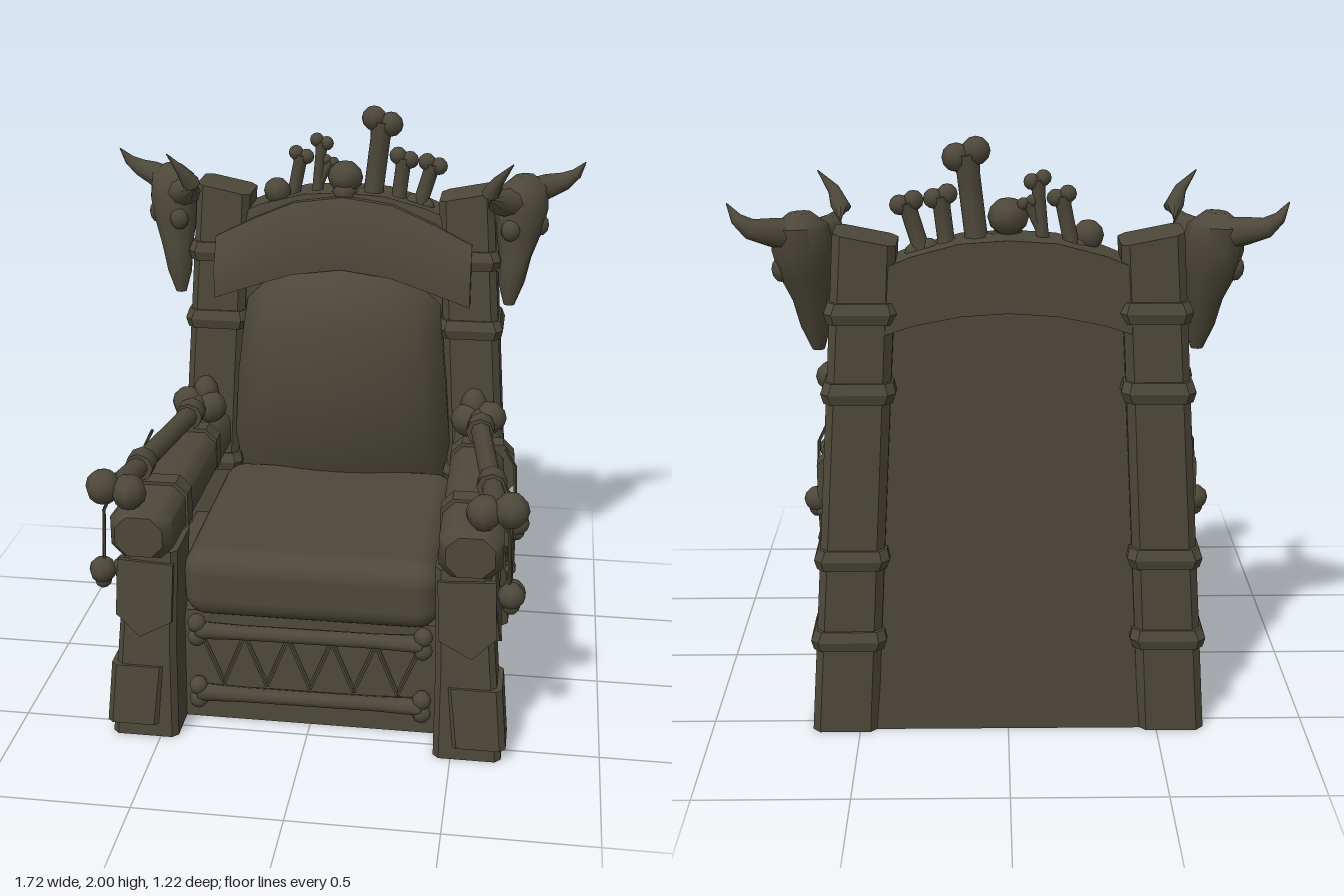
import * as THREE from 'three';
import { mergeGeometries, toCreasedNormals } from 'three/addons/utils/BufferGeometryUtils.js';
import { RoundedBoxGeometry } from 'three/addons/geometries/RoundedBoxGeometry.js';

const V = (x, y, z) => new THREE.Vector3(x, y, z);
const lerp = THREE.MathUtils.lerp;

// Skin a list of equal-length rings, cap both ends, face outwards
function loft(rings, crease = 0.5) {
  const tris = [], n = rings[0].length;
  const mid = r => r.reduce((s, p) => s.add(p), V(0, 0, 0)).divideScalar(n);
  const first = mid(rings[0]), last = mid(rings[rings.length - 1]);
  for (let j = 0; j < n; j++) {
    const k = (j + 1) % n;
    for (let i = 0; i + 1 < rings.length; i++) {
      const a = rings[i][j], b = rings[i][k], c = rings[i + 1][k], d = rings[i + 1][j];
      tris.push([a, b, c], [a, c, d]);
    }
    tris.push([first, rings[0][k], rings[0][j]]);
    tris.push([last, rings[rings.length - 1][j], rings[rings.length - 1][k]]);
  }
  const volume = tris.reduce((s, [a, b, c]) => s + a.clone().sub(first).dot(b.clone().sub(first).cross(c.clone().sub(first))), 0);
  const pts = tris.flatMap(([a, b, c]) => volume < 0 ? [a, c, b] : [a, b, c]);
  return toCreasedNormals(new THREE.BufferGeometry().setFromPoints(pts), crease);
}

// Chamfered rectangle as 2D pairs
const rect = (a0, a1, b0, b1, c = 0.02) => [
  [a0 + c, b0], [a1 - c, b0], [a1, b0 + c], [a1, b1 - c],
  [a1 - c, b1], [a0 + c, b1], [a0, b1 - c], [a0, b0 + c]];
const ringY = (y, x0, x1, z0, z1, c) => rect(x0, x1, z0, z1, c).map(([x, z]) => V(x, y, z));
const ringZ = (z, x0, x1, y0, y1, c) => rect(x0, x1, y0, y1, c).map(([x, y]) => V(x, y, z));

// Tapered tube through points with one radius per point
function tube(points, radii, sides = 8) {
  const rings = points.map((p, i) => {
    const t = points[Math.min(i + 1, points.length - 1)].clone().sub(points[Math.max(i - 1, 0)]).normalize();
    const ref = Math.abs(t.z) > 0.8 ? V(0, 1, 0) : V(0, 0, 1);
    const u = ref.cross(t).normalize(), w = t.clone().cross(u);
    return Array.from({ length: sides }, (_, j) => {
      const a = j / sides * Math.PI * 2;
      return p.clone().addScaledVector(u, Math.cos(a) * radii[i]).addScaledVector(w, Math.sin(a) * radii[i]);
    });
  });
  return loft(rings, 1);
}

function plain(g) {
  g = g.index ? g.toNonIndexed() : g;
  g.deleteAttribute('uv');
  return g;
}
const ball = (p, rx, ry = rx, rz = rx) =>
  plain(new THREE.SphereGeometry(1, 8, 6).scale(rx, ry, rz).translate(p.x, p.y, p.z));

// Waisted shaft with a pair of knobs at each end, spread along the given direction
function bone(a, b, r, knob, spread) {
  const parts = [tube([0, 0.2, 0.8, 1].map(t => a.clone().lerp(b, t)), [r * 1.2, r, r, r * 1.2])];
  for (const end of [a, b]) for (const s of [-1, 1])
    parts.push(ball(end.clone().addScaledVector(spread, s * knob * 0.75), knob));
  return mergeGeometries(parts);
}

function mirrored(g) {
  const m = g.clone(), p = m.attributes.position, q = m.attributes.normal;
  for (const at of [p, q]) for (let i = 0; i < at.count; i += 3) {
    const v = [0, 2, 1].map(k => [-at.getX(i + k), at.getY(i + k), at.getZ(i + k)]);
    v.forEach((e, k) => at.setXYZ(i + k, ...e));
  }
  return m;
}

export function createModel() {
  const model = new THREE.Group();
  model.name = 'boneThrone';
  const hide = new THREE.MeshStandardMaterial({ name: 'darkHideAndBone', color: 0x4d483a });
  const add = (name, g) => {
    const m = new THREE.Mesh(g, hide);
    m.name = name;
    model.add(m);
  };
  const pair = (name, g) => { g = plain(g); add(name + 'Left', g); add(name + 'Right', mirrored(g)); };

  // Base, back panel and seat
  add('base', loft([ringY(0, -0.6, 0.6, -0.56, 0.43), ringY(0.41, -0.57, 0.57, -0.54, 0.41)]));
  add('backPanel', loft([ringY(0, -0.47, 0.47, -0.56, -0.45, 0.01), ringY(1.5, -0.4, 0.4, -0.53, -0.43, 0.01)]));
  const seat = new RoundedBoxGeometry(0.88, 0.25, 0.86, 4, 0.08);
  seat.translate(0, 0.52, 0.03);
  add('seatCushion', seat);

  // Bulging back cushion with an arched top: [y, half width, front z, arch]
  const cushion = [[0.58, 0.43, -0.33, 0], [0.75, 0.41, -0.26, 0], [1.0, 0.39, -0.23, 0],
    [1.18, 0.37, -0.245, 0.04], [1.28, 0.36, -0.29, 0.08], [1.34, 0.34, -0.37, 0.09]];
  add('backCushion', loft(cushion.map(([y, w, z, arch]) => {
    const ring = [];
    for (let i = 0; i <= 10; i++) {
      const u = i / 5 - 1;
      ring.push(V(u * w, y + arch * (1 - u * u), z - 0.11 * u * u - (Math.abs(u) === 1 ? 0.03 : 0)));
    }
    return [...ring, V(w, y, -0.47), V(0, y + arch, -0.47), V(-w, y, -0.47)];
  }), 1));

  // Arched top beam and the hide stretched over its front
  const arch = (list, bottomZ, topZ, backZ) => loft(list.map(([x, lo, hi]) =>
    [V(x, lo, bottomZ), V(x, (lo + hi) / 2, bottomZ), V(x, hi, topZ), V(x, hi, backZ), V(x, lo, backZ)]), 0.6);
  const both = half => [...half.map(([x, ...r]) => [-x, ...r]), ...half.slice(0, -1).reverse()];
  add('topBeam', arch(both([[0.42, 1.38, 1.59], [0.3, 1.42, 1.64], [0.15, 1.45, 1.68], [0, 1.46, 1.69]]), -0.41, -0.43, -0.6));
  add('headHide', arch(both([[0.47, 1.3, 1.52], [0.33, 1.35, 1.59], [0.18, 1.4, 1.655], [0, 1.425, 1.68]]), -0.345, -0.4, -0.45));

  // Leaning back posts with lashings
  const postRing = (y, e = 0) => {
    const t = y / 1.69;
    return ringY(y, lerp(0.44, 0.345, t) - e, lerp(0.66, 0.54, t) + e, lerp(-0.58, -0.605, t) - e, lerp(-0.37, -0.41, t) + e, 0.025);
  };
  const top = postRing(1.69);
  top.forEach(p => { p.y += (p.x - 0.44) * 0.2; });
  pair('backPost', loft([postRing(0), postRing(0.8), top]));
  [0.34, 0.63, 1.2, 1.46].forEach(y => pair('postLashing',
    loft([postRing(y - 0.035, 0.008), postRing(y, 0.018), postRing(y + 0.035, 0.008)])));

  // Front legs with hide patches
  pair('frontLeg', loft([ringY(0, 0.44, 0.67, 0.41, 0.58), ringY(0.35, 0.44, 0.64, 0.37, 0.565), ringY(0.69, 0.43, 0.61, 0.32, 0.54)]));
  pair('lowerPatch', loft([ringY(0.05, 0.5, 0.685, 0.43, 0.592), ringY(0.27, 0.475, 0.665, 0.4, 0.578)]));
  const patch = new THREE.Shape([[-0.1, 0.13], [0.09, 0.14], [0.1, -0.06], [0.02, -0.14], [-0.09, -0.08]].map(p => new THREE.Vector2(...p)));
  const plate = () => new THREE.ExtrudeGeometry(patch, { depth: 0.02, bevelEnabled: false });
  pair('frontPatch', plate().rotateX(-0.06).translate(0.54, 0.52, 0.543));
  pair('sidePatch', plate().rotateY(Math.PI / 2).rotateZ(0.1).translate(0.62, 0.52, 0.45));

  // Padded armrests, cuffs and the bones lashed on top
  pair('armrest', loft([ringZ(0.585, 0.465, 0.625, 0.69, 0.83, 0.04), ringZ(0.54, 0.44, 0.65, 0.67, 0.85, 0.04), ringZ(-0.4, 0.43, 0.61, 0.67, 0.845, 0.04)], 0.9));
  const armA = V(0.52, 0.905, -0.27), armB = V(0.625, 0.91, 0.54);
  pair('armBone', bone(armA, armB, 0.036, 0.06, V(0.95, 0.15, 0)));
  pair('armBoneKnuckle', ball(V(0.5, 0.94, -0.3), 0.05, 0.07, 0.05));
  [0.32, -0.17].forEach(z => {
    pair('armCuff', loft([ringZ(z - 0.035, 0.43, 0.655, 0.665, 0.86, 0.04), ringZ(z + 0.035, 0.43, 0.66, 0.665, 0.86, 0.04)]));
    const c = armA.clone().lerp(armB, (z + 0.27) / 0.81);
    pair('boneLashing', tube([V(c.x, c.y, z - 0.035), V(c.x, c.y, z + 0.035)], [0.05, 0.05]));
  });

  // Charms hanging from the arms: [z, y]
  [[0.555, 0.62], [0.28, 0.49], [0, 0.62]].forEach(([z, y]) => {
    pair('charmString', tube([V(0.63, 0.91, z + 0.02), V(0.665, 0.84, z), V(0.675, y, z)], [0.006, 0.006, 0.006], 5));
    pair('charm', mergeGeometries([ball(V(0.68, y, z), 0.046), ball(V(0.68, y - 0.035, z), 0.03)]));
  });
  pair('charmBone', bone(V(0.665, 0.58, 0), V(0.665, 0.46, 0.035), 0.013, 0.02, V(0, 0, 1)));

  // Border bones and zigzag lacing on the front and sides
  const zigzag = (name, from, to, count, put) => {
    const pts = Array.from({ length: count + 1 }, (_, i) => V(lerp(from.x, to.x, i / count), i % 2 ? 0.14 : 0.33, lerp(from.z, to.z, i / count)));
    for (let i = 0; i < count; i++) put(name, tube([pts[i], pts[i + 1]], [0.008, 0.008], 5));
  };
  [0.11, 0.355].forEach(y => {
    add('frontBone', bone(V(-0.39, y, 0.45), V(0.39, y + 0.005, 0.45), 0.027, 0.034, V(0, 1, 0)));
    pair('sideBone', bone(V(0.605, y, 0.31), V(0.605, y, -0.31), 0.025, 0.03, V(0, 1, 0)));
  });
  zigzag('frontLacing', V(-0.38, 0, 0.426), V(0.38, 0, 0.426), 10, add);
  zigzag('sideLacing', V(0.59, 0, 0.3), V(0.59, 0, -0.33), 8, pair);

  // Horned skulls turned outwards: [x, y, z, half width, half depth]
  const skull = [[0.645, 1.76, -0.5, 0.04, 0.03], [0.645, 1.72, -0.5, 0.095, 0.075], [0.64, 1.64, -0.485, 0.105, 0.085],
    [0.635, 1.56, -0.475, 0.09, 0.075], [0.625, 1.47, -0.45, 0.058, 0.058], [0.615, 1.38, -0.43, 0.05, 0.045], [0.61, 1.3, -0.42, 0.02, 0.02]];
  pair('hornedSkull', loft(skull.map(([x, y, z, w, d]) => Array.from({ length: 10 }, (_, j) => {
    const a = j / 10 * Math.PI * 2, u = Math.cos(a) * w, v = Math.sin(a) * d;
    return V(x + (u + v) * 0.707, y, z + (v - u) * 0.707);
  })), 0.8));
  pair('browRidge', mergeGeometries([ball(V(0.605, 1.58, -0.4), 0.035, 0.04, 0.03), ball(V(0.71, 1.58, -0.5), 0.03, 0.04, 0.035)]));
  pair('outerHorn', tube([V(0.66, 1.69, -0.51), V(0.73, 1.71, -0.555), V(0.79, 1.725, -0.58), V(0.83, 1.755, -0.575), V(0.86, 1.8, -0.56)],
    [0.055, 0.045, 0.033, 0.02, 0.002]));
  pair('innerHorn', tube([V(0.61, 1.67, -0.45), V(0.56, 1.69, -0.37), V(0.535, 1.74, -0.3), V(0.56, 1.79, -0.268), V(0.61, 1.85, -0.26)],
    [0.055, 0.045, 0.033, 0.02, 0.002]));

  // Crown of upright bones: [foot x, tip x, tip y, shaft, knob]
  [[-0.2, -0.165, 1.81, 0.024, 0.028], [-0.11, -0.09, 1.86, 0.02, 0.026], [-0.13, -0.06, 1.79, 0.016, 0.02],
    [0.095, 0.13, 1.94, 0.036, 0.045], [0.19, 0.21, 1.81, 0.027, 0.032], [0.27, 0.315, 1.79, 0.027, 0.032]].forEach(([x0, x1, y, r, k]) =>
    add('crownBone', bone(V(x0, 1.64, -0.5), V(x1, y, -0.5), r, k, V(0.9, -0.3, 0))));
  add('crownSkull', mergeGeometries([ball(V(0, 1.74, -0.47), 0.065, 0.06, 0.065), ball(V(0, 1.69, -0.45), 0.045)]));
  add('crownKnob', ball(V(-0.25, 1.68, -0.47), 0.05));
  return model;
}
